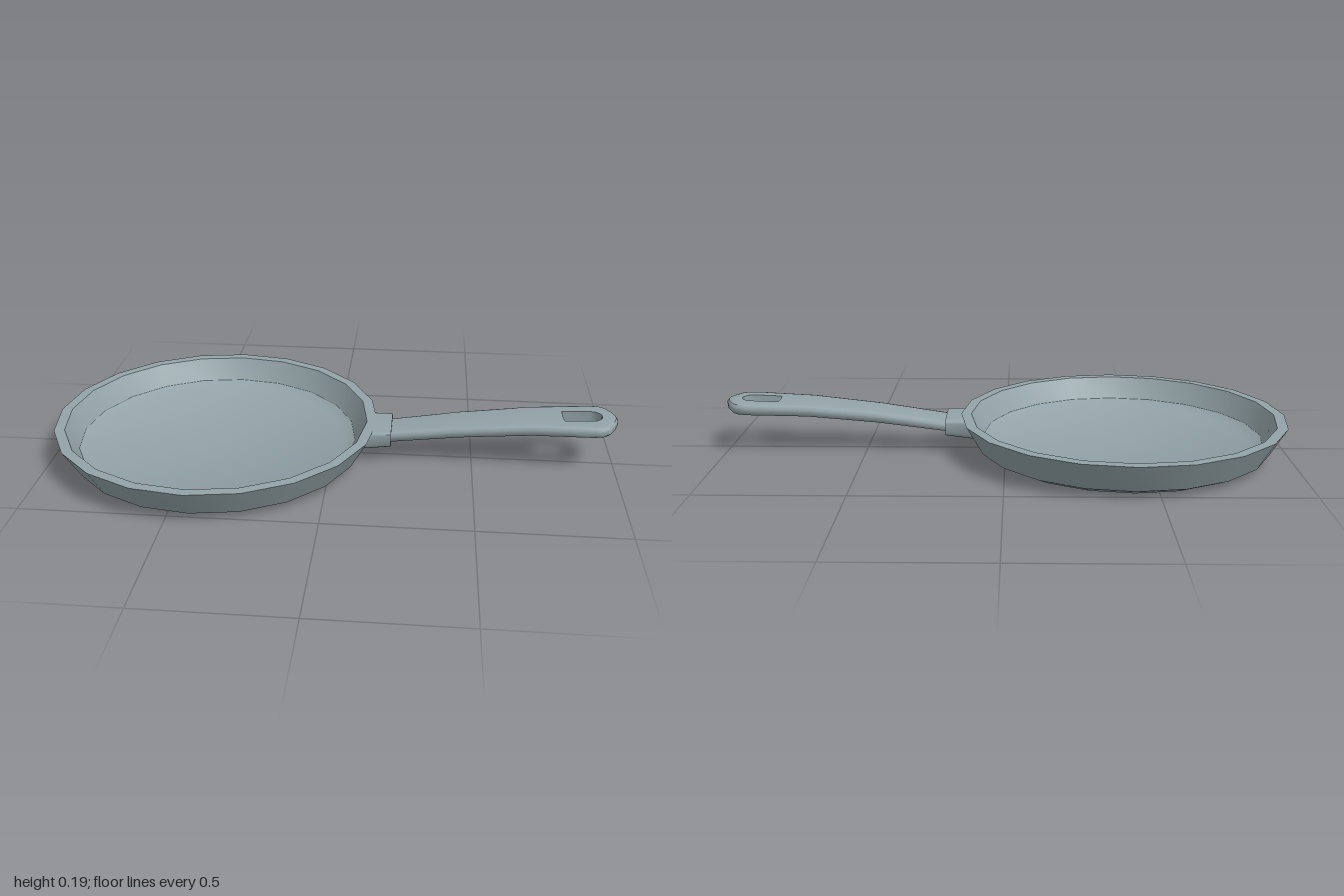
import * as THREE from 'three';
import { toCreasedNormals } from 'three/addons/utils/BufferGeometryUtils.js';

const metal = new THREE.MeshStandardMaterial({ color: 0x93a3a8 });
metal.name = 'greyMetal';

function part(name, geometry, crease = 0.6) {
  const mesh = new THREE.Mesh(toCreasedNormals(geometry, crease), metal);
  mesh.name = name;
  return mesh;
}

// Height of the handle's middle line along x
const curve = [[0.18, 0.092], [0.45, 0.13], [0.7, 0.155], [1, 0.166]];
function middle(x) {
  let i = 0;
  while (i < curve.length - 2 && x > curve[i + 1][0]) i++;
  const [a, b] = [curve[i], curve[i + 1]];
  return a[1] + (b[1] - a[1]) * (x - a[0]) / (b[0] - a[0]);
}

// Twenty-sided dish: underside, outer wall, rim, inner wall, floor
function dish() {
  const profile = [
    [0, 0], [0.465, 0], [0.522, 0.027], [0.58, 0.128],
    [0.543, 0.128], [0.5, 0.05], [0.46, 0.03], [0, 0.03],
  ].map(([r, y]) => new THREE.Vector2(r, y));
  const mesh = part('pan', new THREE.LatheGeometry(profile, 20), 0.6);
  mesh.position.x = -0.42;
  return mesh;
}

// Socket joining handle and dish, its inner end slanted to follow the wall
function collar() {
  const s = new THREE.Shape();
  s.moveTo(-0.062, 0.052);
  s.lineTo(0.062, 0.052);
  s.quadraticCurveTo(0.08, 0.054, 0.083, 0.07);
  s.lineTo(0.088, 0.112);
  s.quadraticCurveTo(0.088, 0.126, 0.074, 0.126);
  s.lineTo(-0.074, 0.126);
  s.quadraticCurveTo(-0.088, 0.126, -0.088, 0.112);
  s.lineTo(-0.083, 0.07);
  s.quadraticCurveTo(-0.08, 0.054, -0.062, 0.052);
  const g = new THREE.ExtrudeGeometry(s, { depth: 1, bevelEnabled: false, curveSegments: 3 });
  g.rotateY(Math.PI / 2);
  const p = g.attributes.position;
  for (let i = 0; i < p.count; i++) {
    const y = p.getY(i);
    const outer = p.getX(i) > 0.5;
    p.setX(i, outer ? 0.212 : 0.105 + (y - 0.052) * 0.4);
    if (outer) p.setY(i, y + 0.014 * (0.126 - y) / 0.074);
  }
  return part('collar', g);
}

// Handle swept around its outline; inner points run along the middle, then round the hole
function handle() {
  // outer x, outer z, inner x, inner z
  const half = [
    [0.19, 0.064, 0.19, 0], [0.45, 0.075, 0.45, 0], [0.7, 0.087, 0.7, 0],
    [0.8, 0.093, 0.81, 0], [0.82, 0.094, 0.81, 0.037], [0.91, 0.1, 0.91, 0.039],
    [0.945, 0.095, 0.928, 0.034], [0.967, 0.08, 0.94, 0.022], [0.988, 0.045, 0.945, 0.012],
    [1, 0.012, 0.946, 0.004],
  ];
  const stations = [...half, ...half.slice().reverse().map(([a, b, c, d]) => [a, -b, c, -d])];
  // Rounded edge: inset from the outline, height from the middle
  const edge = [[0.026, -0.021], [0.01, -0.018], [0.001, -0.009], [0, 0.008], [0.007, 0.018], [0.02, 0.021]];
  const n = edge.length + 2;
  const positions = [];
  const index = [];
  for (const [ox, oz, ix, iz] of stations) {
    const length = Math.hypot(ix - ox, iz - oz);
    const section = [[length, -0.021], ...edge, [length, 0.021]];
    for (const [inset, h] of section) {
      const t = inset / length;
      const x = ox + (ix - ox) * t;
      positions.push(x, middle(x) + h, oz + (iz - oz) * t);
    }
  }
  for (let i = 0; i < stations.length - 1; i++) {
    for (let j = 0; j < n; j++) {
      const k = (j + 1) % n;
      const a = i * n + j, b = i * n + k, c = a + n, d = b + n;
      index.push(a, c, b, b, c, d);
    }
  }
  const g = new THREE.BufferGeometry();
  g.setAttribute('position', new THREE.Float32BufferAttribute(positions, 3));
  g.setIndex(index);
  return part('handle', g, 0.75);
}

export function createModel() {
  const group = new THREE.Group();
  group.name = 'fryingPan';
  group.add(dish(), collar(), handle());
  return group;
}
